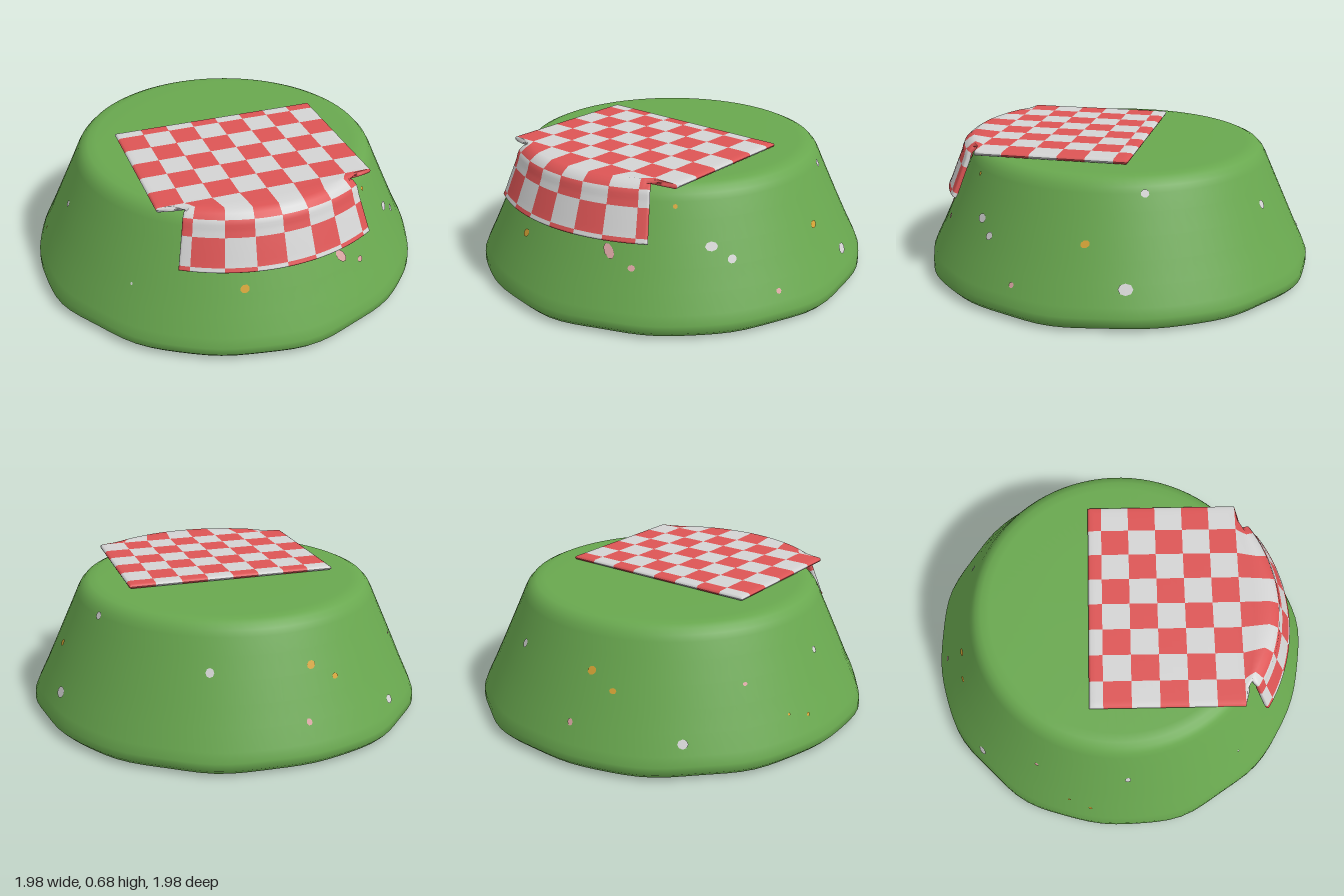
import * as THREE from 'three';

const mat = (name, color) => {
  const m = new THREE.MeshStandardMaterial({ color });
  m.name = name;
  return m;
};

// Hill outline as [radius, height], from the underside to the middle of the top
const PROFILE = [
  [0, 0], [0.6, 0], [0.92, 0.002], [0.965, 0.008], [0.987, 0.03], [0.986, 0.065], [0.968, 0.11],
  [0.925, 0.2], [0.88, 0.3], [0.835, 0.4], [0.79, 0.5], [0.757, 0.575], [0.742, 0.603],
  [0.72, 0.627], [0.692, 0.64], [0.65, 0.645], [0.4, 0.646], [0, 0.646],
];

// Uneven foot of the hill, fading out upwards
function wobble(a, y) {
  const fade = Math.max(0, 1 - y / 0.35);
  return 1 + fade * (0.006 * Math.sin(9 * a + 1) + 0.005 * Math.sin(14 * a) + 0.003 * Math.cos(5 * a));
}

function hillRadius(y) {
  for (let i = 5; i < PROFILE.length - 1; i++) {
    const [r0, y0] = PROFILE[i], [r1, y1] = PROFILE[i + 1];
    if (y <= y1) return r0 + ((r1 - r0) * (y - y0)) / (y1 - y0);
  }
  return 0;
}

function makeHill(material) {
  const geo = new THREE.LatheGeometry(PROFILE.map(([r, y]) => new THREE.Vector2(r, y)), 90);
  const p = geo.attributes.position;
  for (let i = 0; i < p.count; i++) {
    const k = wobble(Math.atan2(p.getX(i), p.getZ(i)), p.getY(i));
    p.setXYZ(i, p.getX(i) * k, p.getY(i), p.getZ(i) * k);
  }
  return new THREE.Mesh(geo, material);
}

// Front drape of the cloth as (radius, height), one point per half check
const DRAPE = new THREE.SplineCurve([
  [0.745, 0.667], [0.785, 0.637], [0.797, 0.6], [0.812, 0.563], [0.838, 0.5], [0.864, 0.435], [0.876, 0.414],
].map(([r, y]) => new THREE.Vector2(r, y)));
const RIM = 0.78;
const ROWS = 9;

// Middle surface of the cloth: u = -4..4 across, v = 0..9 from back to front
function clothPoint(u, v) {
  const flat = new THREE.Vector3(u * 0.133, 0.662, -0.085 + (Math.min(v, 5.5) - 0.5) * 0.137);
  if (v <= 5.5) return flat;
  const au = Math.abs(u);
  const x = Math.sign(u) * (au < 3 ? au * 0.127 : 0.381 + (au - 3) * 0.042);
  const d = DRAPE.getPoint(Math.max(0, Math.min(1, (v - 6) / 3)));
  const k = d.x / RIM;
  const hung = new THREE.Vector3(x * k, d.y, Math.sqrt(RIM * RIM - x * x) * k);
  return v < 6 ? flat.lerp(hung, (v - 5.5) * 2) : hung;
}

function makeCloth(red, white) {
  // Grid lines, finer near the hems so that they are rounded
  const lines = (from, to) => {
    const list = [];
    for (let k = from; k <= to + 1e-6; k += 0.25) list.push(k);
    list.splice(1, 0, from + 0.02, from + 0.08);
    list.splice(-1, 0, to - 0.08, to - 0.02);
    return list;
  };
  const us = lines(-4, 4), vs = lines(0, ROWS);
  const pos = [], faces = [[], []];
  for (const side of [1, -1]) {
    const base = pos.length / 3;
    for (const v of vs) for (const u of us) {
      const e = 0.01, u0 = Math.max(-4, u - e), u1 = Math.min(4, u + e);
      const v0 = Math.max(0, v - e), v1 = Math.min(ROWS, v + e);
      const du = clothPoint(u1, v).sub(clothPoint(u0, v));
      const dv = clothPoint(u, v1).sub(clothPoint(u, v0));
      const n = dv.cross(du).normalize();
      const hem = Math.min(1, Math.min(4 - Math.abs(u), v, ROWS - v) / 0.12);
      const half = 0.012 * Math.sqrt(Math.max(0, 1 - (1 - hem) ** 2));
      const p = clothPoint(u, v).addScaledVector(n, side * half);
      pos.push(p.x, p.y, p.z);
    }
    for (let j = 0; j < vs.length - 1; j++) for (let i = 0; i < us.length - 1; i++) {
      const col = Math.floor((us[i] + us[i + 1]) / 2 + 4);
      const row = Math.floor((vs[j] + vs[j + 1]) / 2 + 0.5);
      const a = base + j * us.length + i, b = a + 1, c = a + us.length, d = c + 1;
      const f = faces[(col + row) % 2 ? 0 : 1];
      if (side > 0) f.push(a, c, b, b, c, d);
      else f.push(a, b, c, b, d, c);
    }
  }
  const geo = new THREE.BufferGeometry();
  geo.setAttribute('position', new THREE.Float32BufferAttribute(pos, 3));
  geo.setIndex([...faces[0], ...faces[1]]);
  geo.addGroup(0, faces[0].length, 0);
  geo.addGroup(faces[0].length, faces[1].length, 1);
  geo.computeVertexNormals();
  return new THREE.Mesh(geo, [red, white]);
}

// Small flat petal lying on the slope; angle in degrees from the front towards +x
function makePetal(angle, y, w, h, roll, material) {
  const a = THREE.MathUtils.degToRad(angle);
  const r = hillRadius(y) * wobble(a, y);
  const mesh = new THREE.Mesh(new THREE.CircleGeometry(0.5, 8), material);
  mesh.scale.set(w, h, 1);
  mesh.rotation.set(-0.42, a, roll, 'YXZ');
  mesh.position.set(Math.sin(a) * (r + 0.004), y + 0.002, Math.cos(a) * (r + 0.004));
  return mesh;
}

export function createModel() {
  const green = mat('grass green', 0x69a84f);
  const red = mat('check red', 0xdd5555);
  const white = mat('check white', 0xd4d4d4);
  const yellow = mat('petal yellow', 0xd6a436);
  const pink = mat('petal pink', 0xdca6a4);

  const model = new THREE.Group();
  model.name = 'picnicHill';

  const hill = makeHill(green);
  hill.name = 'grassyHill';
  const cloth = makeCloth(red, white);
  cloth.name = 'picnicBlanket';
  model.add(hill, cloth);

  // Scattered petals: angle, height, width, length, roll
  const petals = new THREE.Group();
  petals.name = 'petals';
  const scatter = [
    [white, [[52, 0.385, 0.06, 0.045, 0], [58, 0.325, 0.045, 0.04, 0.5], [104, 0.185, 0.07, 0.055, 0],
      [111, 0.575, 0.04, 0.04, 0.4], [158, 0.43, 0.04, 0.045, 0], [-140, 0.16, 0.05, 0.045, 0],
      [-88, 0.42, 0.03, 0.035, 0], [-48, 0.285, 0.012, 0.015, 0]]],
    [yellow, [[-13, 0.32, 0.045, 0.04, 0.3], [92, 0.365, 0.045, 0.035, 0.4], [41, 0.555, 0.022, 0.022, 0],
      [-169, 0.43, 0.045, 0.04, 0.5], [-161, 0.36, 0.035, 0.028, 0], [-107, 0.21, 0.016, 0.014, 0],
      [-100, 0.18, 0.02, 0.018, 0]]],
    [pink, [[20.5, 0.355, 0.045, 0.08, 0.6], [28, 0.295, 0.035, 0.03, 0], [71, 0.155, 0.028, 0.028, 0],
      [-173, 0.2, 0.028, 0.035, 0.3], [-120, 0.38, 0.024, 0.018, 0]]],
  ];
  for (const [material, list] of scatter) {
    for (const args of list) {
      const petal = makePetal(...args, material);
      petal.name = 'petal';
      petals.add(petal);
    }
  }
  model.add(petals);
  return model;
}
